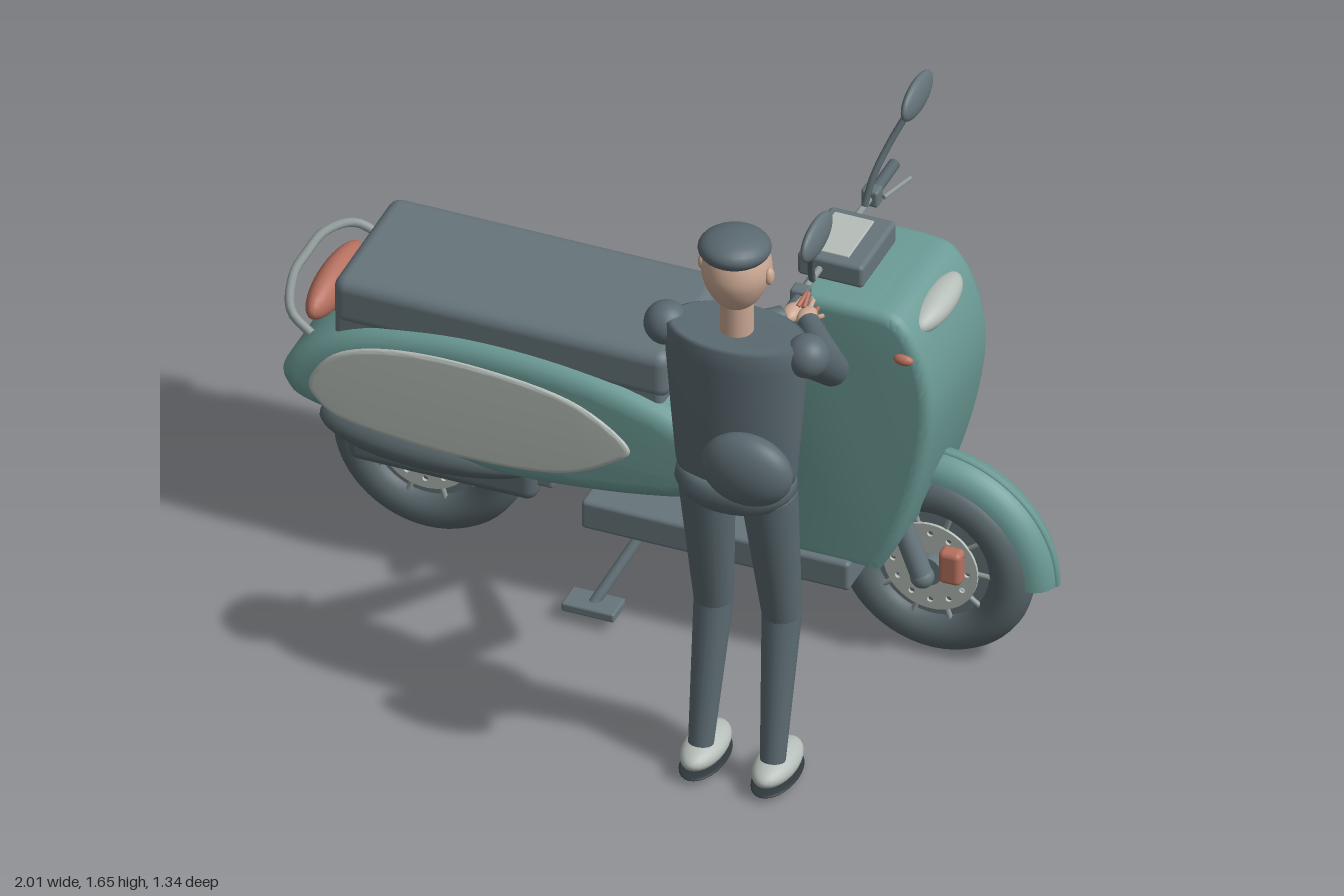
import * as THREE from 'three';
import { toCreasedNormals } from 'three/addons/utils/BufferGeometryUtils.js';
import { RoundedBoxGeometry } from 'three/addons/geometries/RoundedBoxGeometry.js';

const paint = (name, color, side = THREE.FrontSide) => {
  const m = new THREE.MeshStandardMaterial({ color, side });
  m.name = name;
  return m;
};
const V = (x, y, z) => new THREE.Vector3(x, y, z);

export function createModel() {
  const model = new THREE.Group();
  const teal = paint('teal paint', 0x6b9a95, THREE.DoubleSide);
  const slate = paint('slate', 0x66757b);
  const cloth = paint('cloth', 0x5b6a71);
  const rubber = paint('rubber', 0x58666b);
  const light = paint('pale grey', 0xb6beb9);
  const metal = paint('metal', 0x8d9696);
  const skin = paint('skin', 0xcaa893);
  const red = paint('red', 0xb5705f);
  const black = paint('black', 0x2f383b);
  const MID = -0.25; // scooter centre line
  let parent;

  const group = (name) => {
    parent = new THREE.Group();
    parent.name = name;
    model.add(parent);
    return parent;
  };
  const add = (name, geo, mat, x = 0, y = 0, z = 0) => {
    const m = new THREE.Mesh(geo, mat);
    m.name = name;
    m.position.set(x, y, z);
    parent.add(m);
    return m;
  };
  const ball = (name, mat, x, y, z, rx, ry = rx, rz = rx) => {
    const m = add(name, new THREE.SphereGeometry(1, 28, 18), mat, x, y, z);
    m.scale.set(rx, ry, rz);
    return m;
  };
  const box = (name, mat, x, y, z, w, h, d, r = 0.01) =>
    add(name, new RoundedBoxGeometry(w, h, d, 3, r), mat, x, y, z);
  const rod = (name, mat, a, b, r1, r2 = r1) => {
    const d = b.clone().sub(a);
    const m = add(name, new THREE.CylinderGeometry(r2, r1, d.length(), 20), mat);
    m.position.copy(a).addScaledVector(d, 0.5);
    m.quaternion.setFromUnitVectors(V(0, 1, 0), d.normalize());
    return m;
  };
  const tube = (name, mat, pts, r) =>
    add(name, new THREE.TubeGeometry(new THREE.CatmullRomCurve3(pts), 28, r, 10), mat);
  // Closed smooth outline from a few x, y pairs
  const outline = (pairs, tension = 0.5) => {
    const pts = pairs.map(([x, y]) => V(x, y, 0));
    const curve = new THREE.CatmullRomCurve3(pts, true, 'catmullrom', tension);
    return new THREE.Shape(curve.getPoints(72).slice(0, -1).map((p) => new THREE.Vector2(p.x, p.y)));
  };
  // Extrusion centred on z with rounded rims
  const slab = (name, mat, shape, width, bevel, z) => {
    const thick = Math.min(bevel, width / 3);
    const g = new THREE.ExtrudeGeometry(shape, {
      depth: width - 2 * thick, bevelThickness: thick, bevelSize: bevel,
      bevelOffset: -bevel, bevelSegments: 5,
    });
    g.translate(0, 0, -(width - 2 * thick) / 2);
    return add(name, toCreasedNormals(g, 0.7), mat, 0, 0, z);
  };

  // Wheels with a drilled brake disc on the left flank
  const disc = new THREE.Shape().absarc(0, 0, 0.125, 0, Math.PI * 2);
  for (let i = 0; i < 12; i++) {
    const a = (i * Math.PI) / 6;
    disc.holes.push(new THREE.Path().absarc(0.098 * Math.cos(a), 0.098 * Math.sin(a), 0.008, 0, Math.PI * 2));
  }
  for (const [label, wx] of [['rearWheel', -0.66], ['frontWheel', 0.675]]) {
    group(label).position.set(wx, 0.257, MID);
    add('tyre', new THREE.TorusGeometry(0.2, 0.057, 20, 56), rubber);
    add('rim', new THREE.CylinderGeometry(0.165, 0.165, 0.05, 40), slate).rotation.x = Math.PI / 2;
    add('brakeDisc', new THREE.ExtrudeGeometry(disc, { depth: 0.008, bevelEnabled: false, curveSegments: 24 }), light, 0, 0, 0.034);
    for (let i = 0; i < 10; i++) {
      const a = (i * Math.PI) / 5;
      const c = Math.cos(a), s = Math.sin(a);
      rod('spoke', metal, V(0.05 * c, 0.05 * s, 0.028), V(0.162 * c, 0.162 * s, 0.03), 0.007);
    }
    rod('hub', slate, V(0, 0, -0.1), V(0, 0, 0.065), 0.04);
    rod('axle', metal, V(0, 0, -0.12), V(0, 0, 0.08), 0.016);
  }

  // Front fender, fork and brake caliper
  group('frontEnd');
  const arc = [];
  for (let i = 0; i <= 14; i++) {
    const a = -Math.PI / 2 + (i * Math.PI) / 14;
    arc.push(new THREE.Vector2(0.26 + 0.06 * Math.cos(a), 0.06 * Math.sin(a)));
  }
  const fender = new THREE.LatheGeometry(arc, 44, Math.PI / 2, Math.PI * 0.85).rotateX(Math.PI / 2);
  add('frontFender', fender, teal, 0.675, 0.262, MID);
  const ridge = new THREE.TorusGeometry(0.316, 0.012, 8, 44, Math.PI * 0.8);
  add('fenderRidge', ridge, teal, 0.675, 0.262, MID);
  for (const s of [-1, 1]) {
    const z = MID + s * 0.092;
    rod('forkLeg', slate, V(0.585, 0.5, z), V(0.675, 0.26, z), 0.028);
    ball('forkEnd', slate, 0.675, 0.26, z, 0.03);
  }
  box('brakeCaliper', red, 0.75, 0.308, -0.165, 0.06, 0.095, 0.045, 0.015);

  // Rear bodywork with inset side panels
  group('rearBody');
  const tail = outline([[-0.97, 0.53], [-0.88, 0.62], [-0.74, 0.685], [-0.53, 0.72], [-0.31, 0.72],
    [-0.1, 0.692], [0.09, 0.63], [0.16, 0.55], [0.175, 0.45], [0.12, 0.41], [-0.12, 0.365],
    [-0.42, 0.345], [-0.66, 0.385], [-0.9, 0.425], [-0.965, 0.47]]);
  slab('tailBody', teal, tail, 0.455, 0.05, -0.255);
  const panel = outline([[-0.89, 0.52], [-0.82, 0.61], [-0.67, 0.66], [-0.45, 0.67], [-0.2, 0.635],
    [-0.05, 0.54], [-0.09, 0.48], [-0.24, 0.41], [-0.5, 0.39], [-0.78, 0.415], [-0.87, 0.46]]);
  for (const s of [-1, 1]) slab('sidePanel', light, panel, 0.02, 0.012, -0.255 + s * 0.226);
  box('seatBase', slate, -0.41, 0.67, -0.26, 0.87, 0.1, 0.39, 0.02);
  box('seat', slate, -0.405, 0.735, -0.26, 0.89, 0.135, 0.4, 0.035);
  ball('tailLight', red, -0.92, 0.65, -0.26, 0.043, 0.057, 0.16);
  tube('grabRail', metal, [V(-0.89, 0.645, -0.485), V(-0.95, 0.68, -0.465), V(-0.99, 0.71, -0.36), V(-0.995, 0.712, -0.26),
    V(-0.99, 0.71, -0.16), V(-0.95, 0.68, -0.055), V(-0.89, 0.645, -0.035)], 0.012);
  box('numberPlate', metal, -0.957, 0.43, -0.255, 0.016, 0.14, 0.18, 0.005);

  // Engine cover on the left, exhaust on the right
  group('engine');
  ball('engineCover', rubber, -0.6, 0.355, -0.13, 0.305, 0.068, 0.115);
  box('swingArm', rubber, -0.58, 0.285, -0.14, 0.5, 0.1, 0.07, 0.03);
  box('swingArmJoint', slate, -0.32, 0.3, -0.16, 0.06, 0.05, 0.06);
  box('exhaust', rubber, -0.58, 0.33, -0.435, 0.57, 0.125, 0.13, 0.05);
  box('exhaustShell', slate, -0.58, 0.36, -0.495, 0.57, 0.09, 0.035, 0.012);
  box('heatShield', light, -0.62, 0.36, -0.516, 0.41, 0.09, 0.014, 0.005);

  // Footboard, tunnel and side stand
  group('footboard');
  box('floor', slate, 0.17, 0.283, MID, 0.71, 0.083, 0.4, 0.012);
  const tunnel = box('tunnel', slate, 0.14, 0.39, MID, 0.42, 0.075, 0.09, 0.015);
  tunnel.rotation.z = 0.04;
  rod('standLeg', slate, V(-0.03, 0.26, -0.18), V(-0.14, 0.045, -0.025), 0.014);
  box('standFoot', slate, -0.14, 0.042, -0.025, 0.14, 0.025, 0.08, 0.006);

  // Leg shield and lamps
  group('legShield');
  const shield = new THREE.Shape();
  shield.moveTo(0.25, 0.31);
  shield.lineTo(0.31, 0.7);
  shield.lineTo(0.365, 1.06);
  shield.quadraticCurveTo(0.37, 1.09, 0.41, 1.09);
  shield.lineTo(0.57, 1.09);
  shield.splineThru([[0.65, 1.07], [0.71, 0.97], [0.735, 0.82], [0.71, 0.63], [0.65, 0.42], [0.595, 0.31]]
    .map(([x, y]) => new THREE.Vector2(x, y)));
  shield.closePath();
  slab('shieldBody', teal, shield, 0.38, 0.03, -0.253);
  const hatch = box('gloveHatch', rubber, 0.31, 0.72, MID, 0.012, 0.32, 0.25, 0.004);
  hatch.rotation.z = -0.152;
  const lamp = ball('headlight', light, 0.672, 1.02, MID, 0.05, 0.042, 0.13);
  lamp.rotation.z = 0.3;
  for (const s of [-1, 1]) ball('indicator', red, 0.665, 0.97, MID + s * 0.188, 0.026, 0.015, 0.015);

  // Dashboard, handlebar and mirrors
  group('handlebar');
  box('dashboard', slate, 0.437, 1.122, MID, 0.175, 0.065, 0.22, 0.012);
  box('screen', light, 0.424, 1.155, MID, 0.105, 0.008, 0.165, 0.003);
  rod('bar', metal, V(0.41, 1.122, -0.6), V(0.41, 1.122, 0.09), 0.009);
  for (const s of [-1, 1]) {
    const at = (x, y, d) => V(x, y, MID + s * d);
    rod('grip', rubber, at(0.41, 1.122, 0.24), at(0.41, 1.122, 0.37), 0.015);
    box('switchBox', slate, 0.41, 1.122, MID + s * 0.228, 0.045, 0.048, 0.04, 0.008);
    rod('brakeLever', metal, at(0.44, 1.122, 0.23), at(0.465, 1.115, 0.34), 0.006);
    tube('mirrorStem', rubber, [at(0.415, 1.13, 0.168), at(0.425, 1.2, 0.2), at(0.45, 1.28, 0.255), at(0.485, 1.36, 0.305)], 0.009);
    ball('mirror', slate, 0.49, 1.38, MID + s * 0.322, 0.02, 0.05, 0.092);
  }
  tube('cable', rubber, [V(0.42, 1.115, -0.03), V(0.45, 1.05, -0.045), V(0.46, 0.98, -0.068)], 0.005);

  // Person standing beside the scooter, facing -z
  group('person');
  const PX = 0.44;
  const turned = (name, pts, rx, rz, z) => {
    const m = add(name, new THREE.LatheGeometry(pts.map(([r, y]) => new THREE.Vector2(r, y)), 36), cloth, PX, 0, z);
    m.scale.set(rx, 1, rz);
    return m;
  };
  turned('torso', [[0, 0.91], [0.8, 0.915], [0.85, 0.95], [0.92, 1.1], [1, 1.29], [0.98, 1.345], [0.9, 1.352], [0, 1.345]], 0.185, 0.112, 0.463);
  turned('hips', [[0, 0.835], [0.5, 0.84], [0.85, 0.86], [1, 0.895], [0.97, 0.925], [0.85, 0.94], [0, 0.94]], 0.157, 0.117, 0.463);
  rod('neck', skin, V(PX, 1.33, 0.46), V(PX, 1.45, 0.46), 0.042);
  const head = new THREE.SphereGeometry(1, 32, 24);
  const hp = head.attributes.position;
  for (let i = 0; i < hp.count; i++) { // narrower chin
    const k = 1 + 0.18 * Math.min(0, hp.getY(i));
    hp.setX(i, hp.getX(i) * k);
    hp.setZ(i, hp.getZ(i) * k);
  }
  head.computeVertexNormals();
  add('head', head, skin, PX, 1.525, 0.46).scale.set(0.087, 0.112, 0.093);
  ball('cap', cloth, PX, 1.602, 0.475, 0.09, 0.045, 0.098).rotation.x = -0.12;
  ball('nose', skin, PX, 1.528, 0.362, 0.013, 0.016, 0.016);
  ball('mouth', red, PX, 1.473, 0.383, 0.022, 0.006, 0.008);
  ball('bag', cloth, 0.53, 1.05, 0.615, 0.12, 0.1, 0.06);
  for (const s of [-1, 1]) {
    const x = (d) => PX + s * d;
    ball('ear', skin, x(0.088), 1.53, 0.465, 0.012, 0.024, 0.016);
    ball('eye', black, x(0.032), 1.545, 0.378, 0.011, 0.008, 0.006);
    box('eyebrow', black, x(0.032), 1.566, 0.38, 0.032, 0.007, 0.008, 0.003);

    // Leg and shoe
    const knee = V(x(0.09), 0.475, 0.39), ankle = V(x(0.095), 0.08, 0.46);
    rod('thigh', cloth, V(x(0.082), 0.88, 0.455), knee, 0.072, 0.05);
    ball('knee', cloth, knee.x, knee.y, knee.z, 0.05);
    rod('shin', cloth, knee, ankle, 0.05, 0.032);
    ball('shoe', light, x(0.095), 0.053, 0.43, 0.053, 0.037, 0.108);
    ball('sole', black, x(0.095), 0.017, 0.43, 0.055, 0.009, 0.111);

    // Arm and hand reaching the grip
    const shoulder = V(x(0.187), 1.315, 0.46), elbow = V(x(0.165), 1.135, 0.255), wrist = V(x(0.035), 1.125, 0.085);
    ball('shoulder', cloth, shoulder.x, shoulder.y, shoulder.z, 0.056);
    rod('upperArm', cloth, shoulder, elbow, 0.052, 0.043);
    ball('elbow', cloth, elbow.x, elbow.y, elbow.z, 0.043);
    rod('forearm', cloth, elbow, wrist, 0.043, 0.029);
    ball('hand', skin, x(0.02), 1.125, 0.06, 0.024, 0.02, 0.036);
    for (let f = 0; f < 4; f++) {
      rod('finger', f % 2 ? skin : red, V(x(0.008 + f * 0.012), 1.14 - f * 0.006, 0.05), V(x(0.002 + f * 0.012), 1.155 - f * 0.02, 0.005), 0.006);
    }
  }
  return model;
}
